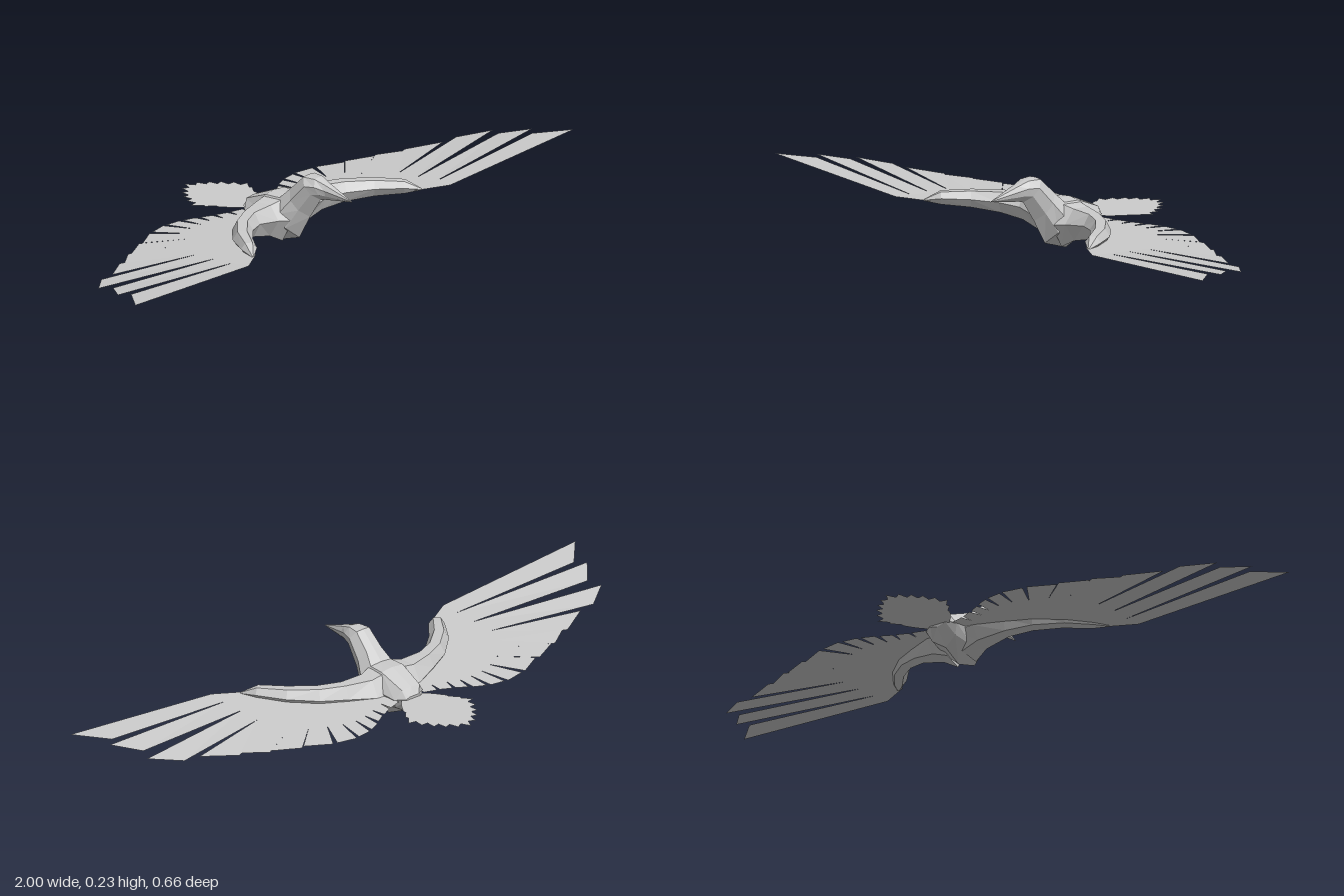
import * as THREE from 'three';

const material = new THREE.MeshStandardMaterial({
  color: 0xcccccc, flatShading: true, side: THREE.DoubleSide,
});

function named(name, geometry) {
  const mesh = new THREE.Mesh(geometry, material);
  mesh.name = name;
  return mesh;
}

function fromTriangles(points) {
  const geometry = new THREE.BufferGeometry().setFromPoints(points);
  geometry.computeVertexNormals();
  return geometry;
}

// Skin a list of equal rings and close both ends
function loft(rings) {
  const out = [];
  const n = rings[0].length;
  for (let i = 0; i < rings.length - 1; i++) {
    for (let j = 0; j < n; j++) {
      const k = (j + 1) % n;
      const [a, b, c, d] = [rings[i][j], rings[i][k], rings[i + 1][k], rings[i + 1][j]];
      out.push(a, b, c, a, c, d);
    }
  }
  const last = rings[rings.length - 1];
  for (let j = 1; j < n - 1; j++) {
    out.push(rings[0][0], rings[0][j + 1], rings[0][j], last[0], last[j], last[j + 1]);
  }
  return fromTriangles(out);
}

// Body, head and beak: leaning sections from rump to beak tip
function createBody() {
  // top z, top y, bottom z, bottom y, half width
  const sections = [
    [-0.078, 0.097, -0.075, 0.08, 0.03],
    [-0.063, 0.12, -0.03, 0.03, 0.056],
    [0.02, 0.155, 0.035, 0, 0.068],
    [0.07, 0.155, 0.115, 0.025, 0.064],
    [0.1, 0.185, 0.157, 0.1, 0.047],
    [0.15, 0.233, 0.198, 0.163, 0.04],
    [0.19, 0.233, 0.215, 0.168, 0.031],
    [0.225, 0.22, 0.23, 0.17, 0.019],
    [0.32, 0.186, 0.32, 0.184, 0.001],
  ];
  // half-section: width share, height share (keel narrow, back broad)
  const half = [[0.62, 0.97], [1, 0.65], [0.75, 0.3]];
  const profile = [[0, 1], ...half.map(([w, h]) => [-w, h]), [0, 0],
    ...half.slice().reverse()];
  return named('body', loft(sections.map(([zt, yt, zb, yb, w]) =>
    profile.map(([u, v]) => new THREE.Vector3(
      u * w, THREE.MathUtils.lerp(yb, yt, v), THREE.MathUtils.lerp(zb, zt, v))))));
}

// Thick leading arm of the wing: x, z, half depth, top y, bottom y
const ARM = [
  [0.03, 0.05, 0.07, 0.148, 0.015],
  [0.08, 0.045, 0.055, 0.138, 0.04],
  [0.16, 0.058, 0.034, 0.137, 0.06],
  [0.23, 0.09, 0.032, 0.136, 0.073],
  [0.3, 0.15, 0.03, 0.135, 0.085],
  [0.355, 0.222, 0.024, 0.132, 0.094],
  [0.385, 0.262, 0.004, 0.108, 0.103],
];

function createArm() {
  const profile = [[0.45, 1], [-0.5, 1], [-1, 0.5], [-0.5, 0.1], [0.4, 0], [1, 0.55]];
  return named('wingArm', loft(ARM.map(([x, z, depth, top, bottom], i) => {
    const a = ARM[Math.max(0, i - 1)], b = ARM[Math.min(ARM.length - 1, i + 1)];
    const t = new THREE.Vector2(b[0] - a[0], b[1] - a[1]).normalize();
    return profile.map(([u, v]) => new THREE.Vector3(
      x - t.y * u * depth, THREE.MathUtils.lerp(bottom, top, v), z + t.x * u * depth));
  })));
}

// Wing feathers, outermost first: tip x z, trailing corner x z, notch x z
const FEATHERS = [
  [1, 0.33, 0.915, 0.24, 0.46, 0.25],
  [0.945, 0.215, 0.88, 0.14, 0.46, 0.178],
  [0.9, 0.1, 0.81, 0.035, 0.46, 0.105],
  [0.755, 0.03, 0.65, -0.03, 0.43, 0.055],
  [0.64, -0.02, 0.565, -0.07, 0.4, 0.015],
  [0.555, -0.065, 0.47, -0.108, 0.365, -0.02],
  [0.46, -0.102, 0.38, -0.145, 0.32, -0.05],
  [0.365, -0.147, 0.3, -0.16, 0.275, -0.067],
  [0.288, -0.157, 0.24, -0.15, 0.23, -0.072],
  [0.228, -0.145, 0.19, -0.128, 0.188, -0.068],
  [0.178, -0.12, 0.145, -0.1, 0.148, -0.055],
  [0.135, -0.097, 0.1, -0.08, 0.1, -0.04],
  [0.092, -0.078, 0.05, -0.065, 0.05, -0.03],
];

// Nearly flat wing surface whose outer front feathers sweep upward
function onWing(x, z) {
  const front = THREE.MathUtils.clamp((z + 0.05) / 0.25, 0, 1);
  return new THREE.Vector3(x, 0.09 + 0.06 * z + 0.057 * Math.max(0, x - 0.48) * front, z);
}

function createFeathers() {
  const path = new THREE.CatmullRomCurve3(
    ARM.slice().reverse().map(([x, z]) => new THREE.Vector3(x, 0, z)));
  const out = [];
  let notch = onWing(0.46, 0.31);
  let root = onWing(0.365, 0.257);
  FEATHERS.forEach(([tx, tz, cx, cz, nx, nz], i) => {
    const tip = onWing(tx, tz), corner = onWing(cx, cz), next = onWing(nx, nz);
    const p = path.getPointAt((i + 1) / FEATHERS.length);
    const nextRoot = onWing(p.x, p.z);
    out.push(notch, tip, corner, notch, corner, next);
    out.push(root, notch, next, root, next, nextRoot);
    notch = next;
    root = nextRoot;
  });
  return named('wingFeathers', fromTriangles(out));
}

// Flat serrated tail fan
function createTail() {
  const tips = [[0.085, 0.125], [0.108, 0.16], [0.128, 0.197], [0.107, 0.232],
    [0.086, 0.264], [0.062, 0.29], [0.034, 0.314]];
  const edge = [[0.025, 0.05], [0.062, 0.09]];
  tips.forEach(([x, z], i) => {
    const [nx, nz] = tips[i + 1] || [0, 0.332];
    edge.push([x, z], [(x + nx) * 0.44, 0.06 + ((z + nz) / 2 - 0.06) * 0.92]);
  });
  const outline = [...edge, [0, 0.332], ...edge.slice().reverse().map(([x, z]) => [-x, z])];
  const shape = new THREE.Shape(outline.map(([x, z]) => new THREE.Vector2(x, z)));
  const tail = named('tail', new THREE.ShapeGeometry(shape).rotateX(-Math.PI / 2));
  tail.position.y = 0.088;
  return tail;
}

export function createModel() {
  const model = new THREE.Group();
  model.name = 'flyingBird';
  model.add(createBody(), createTail());
  for (const side of [1, -1]) {
    const wing = new THREE.Group();
    wing.name = side > 0 ? 'leftWing' : 'rightWing';
    wing.add(createArm(), createFeathers());
    wing.scale.x = side;
    model.add(wing);
  }
  return model;
}
